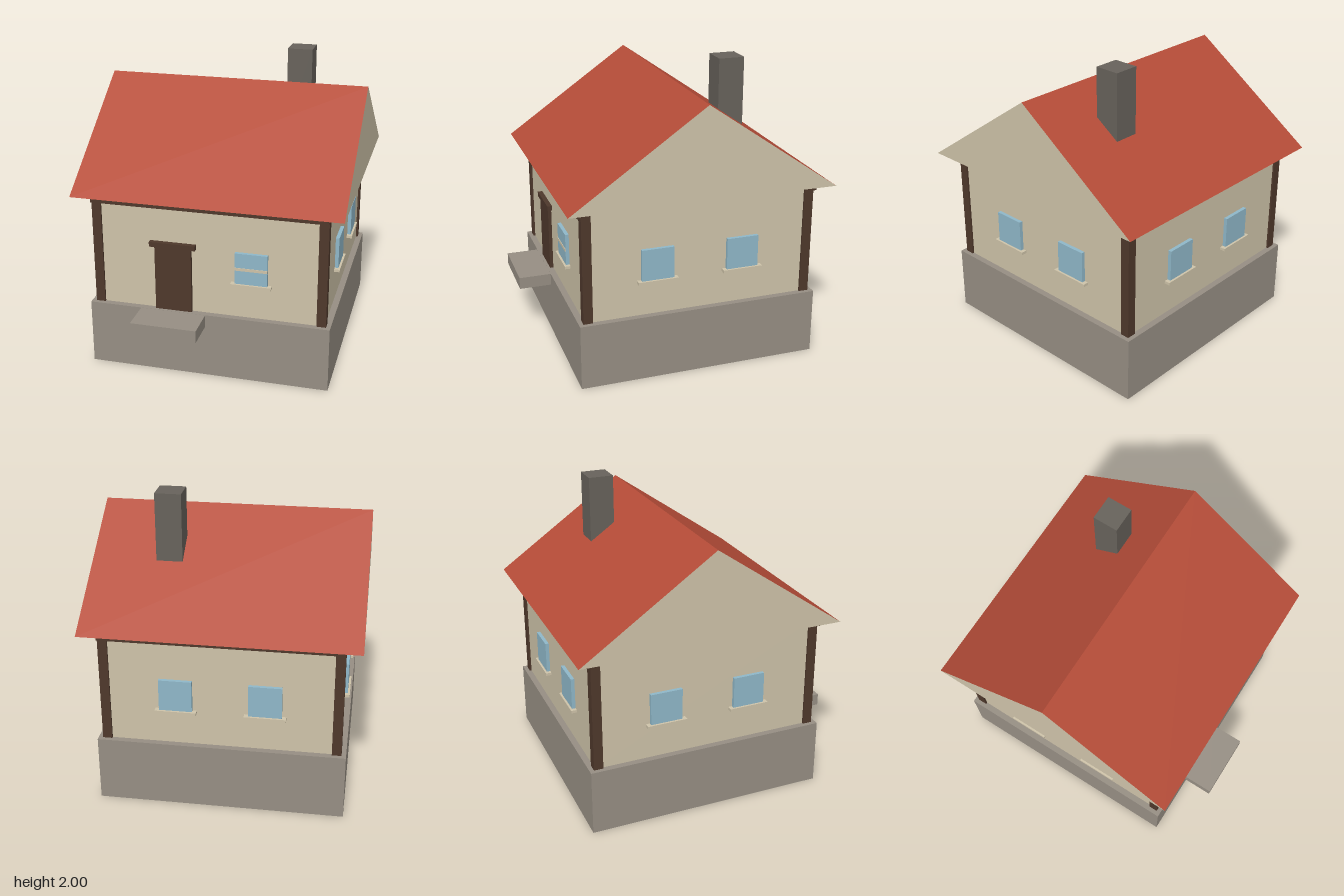
import * as THREE from 'three';

const mat = (name, color) => {
  const m = new THREE.MeshStandardMaterial({ color });
  m.name = name;
  return m;
};

export function createModel() {
  const stone = mat('stone', 0x968e83);
  const plaster = mat('plaster', 0xcec3a9);
  const wood = mat('dark wood', 0x4e382b);
  const tile = mat('roof red', 0xb54c38);
  const glass = mat('window blue', 0x8fb7c8);
  const brick = mat('chimney grey', 0x67625b);

  const house = new THREE.Group();
  house.name = 'house';
  const MID = -0.07; // z of the ridge and of the wall centre

  // Box given by its extents on each axis
  const box = (name, material, [x0, x1], [y0, y1], [z0, z1], parent = house) => {
    const mesh = new THREE.Mesh(new THREE.BoxGeometry(x1 - x0, y1 - y0, z1 - z0), material);
    mesh.position.set((x0 + x1) / 2, (y0 + y1) / 2, (z0 + z1) / 2);
    mesh.name = name;
    parent.add(mesh);
    return mesh;
  };

  // Foundation, step and walls
  box('foundation', stone, [-0.807, 0.807], [0, 0.443], [-0.877, 0.737]);
  box('doorStep', stone, [-0.453, -0.013], [0.36, 0.442], [0.73, 0.957]);
  box('walls', plaster, [-0.765, 0.765], [0.44, 1.214], [MID - 0.765, MID + 0.765]);

  // Corner posts, and the beams under the front and back eaves
  for (const sz of [-1, 1]) {
    for (const sx of [-1, 1]) {
      const x = sx * 0.747, z = MID + sz * 0.747;
      box('cornerPost', wood, [x - 0.031, x + 0.031], [0.443, 1.214], [z - 0.031, z + 0.031]);
    }
    const z = MID + sz * 0.769;
    box('eavesBeam', wood, [-0.778, 0.778], [1.158, 1.2145], [z - 0.031, z + 0.031]);
  }

  // Gabled roof: plaster ends, tiled slopes and underside
  const gable = new THREE.Shape([
    new THREE.Vector2(-0.883, 1.215),
    new THREE.Vector2(0.883, 1.215),
    new THREE.Vector2(0, 1.828),
  ]);
  const roofGeo = new THREE.ExtrudeGeometry(gable, { depth: 1.766, bevelEnabled: false });
  roofGeo.translate(0, 0, -0.883).rotateY(Math.PI / 2);
  const roof = new THREE.Mesh(roofGeo, [plaster, tile]);
  roof.name = 'roof';
  roof.position.z = MID;
  house.add(roof);

  // Chimney on the back slope
  box('chimney', brick, [0.298, 0.468], [1.45, 2], [-0.465, -0.295]);

  // Door and lintel
  box('door', wood, [-0.355, -0.11], [0.443, 0.89], [0.68, 0.718]);
  box('doorLintel', wood, [-0.388, -0.08], [0.888, 0.921], [0.68, 0.728]);

  // Window facing +z with its sill, turned to suit its wall
  const addWindow = (x, z, turn, bar = false) => {
    const w = new THREE.Group();
    w.name = 'window';
    box('glass', glass, [-0.107, 0.107], [0.688, 0.9], [-0.01, 0.024], w);
    box('sill', plaster, [-0.134, 0.134], [0.67, 0.688], [-0.01, 0.038], w);
    if (bar) box('windowBar', plaster, [-0.107, 0.107], [0.782, 0.801], [0.02, 0.028], w);
    w.position.set(x, 0, z);
    w.rotation.y = turn;
    house.add(w);
  };
  addWindow(0.287, MID + 0.765, 0, true);
  for (const s of [-1, 1]) {
    addWindow(s * 0.287, MID - 0.765, Math.PI);
    for (const z of [0.217, -0.358]) addWindow(s * 0.765, z, s * Math.PI / 2);
  }

  return house;
}
